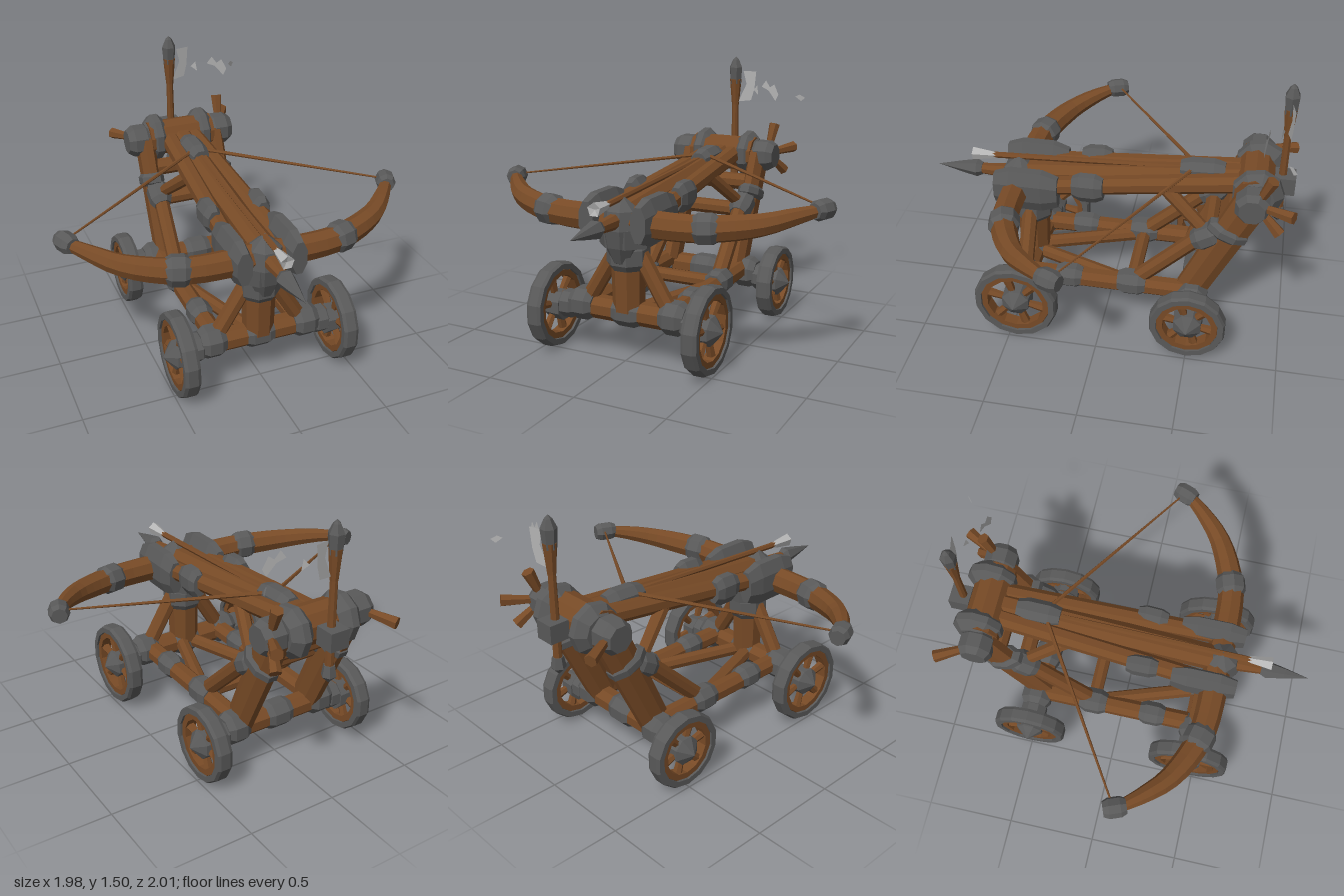
import * as THREE from 'three';

export function createModel() {
  const root = new THREE.Group();
  root.name = 'ballista';
  const mat = (name, color, extra = {}) =>
    Object.assign(new THREE.MeshStandardMaterial({ color, flatShading: true, ...extra }), { name });
  const wood = mat('wood', 0x774a26);
  const iron = mat('iron', 0x595959);
  const pale = mat('paleSteel', 0xb4b4b4, { side: THREE.DoubleSide });

  const V = (p) => new THREE.Vector3(...p);
  const UP = new THREE.Vector3(0, 1, 0);
  const mirror = (p) => [-p[0], p[1], p[2]];

  // Turned part from a to b; profile is [radius, fraction along the axis]
  function turned(name, a, b, profile, m, sides = 8, sx = 1, sz = 1, parent = root) {
    const d = V(b).sub(V(a)), len = d.length();
    const geo = new THREE.LatheGeometry(profile.map(([r, t]) => new THREE.Vector2(r, t * len)), sides);
    geo.rotateY(Math.PI / sides);
    geo.scale(sx, 1, sz);
    const mesh = new THREE.Mesh(geo, m);
    mesh.name = name;
    mesh.position.copy(V(a));
    mesh.quaternion.setFromUnitVectors(UP, d.normalize());
    parent.add(mesh);
    return mesh;
  }
  const beam = (name, a, b, ra, rb, m, sx = 1, sz = 1, sides = 8) =>
    turned(name, a, b, [[0, 0], [ra, 0], [rb, 1], [0, 1]], m, sides, sx, sz);
  // Metal sleeve with chamfered ends
  const sleeve = (name, a, b, r, sx = 1, sz = 1) =>
    turned(name, a, b, [[0, 0], [r * 0.75, 0], [r, 0.25], [r, 0.75], [r * 0.75, 1], [0, 1]], iron, 8, sx, sz);
  // Same part on both sides
  const pair = (fn, name, a, b, ...rest) => {
    fn(name + 'Left', a, b, ...rest);
    fn(name + 'Right', mirror(a), mirror(b), ...rest);
  };

  // Curved tube that changes radius evenly between the given radii
  function taperTube(name, pts, radii, m, rings = 16) {
    const curve = new THREE.CatmullRomCurve3(pts.map(V));
    const geo = new THREE.TubeGeometry(curve, rings, 1, 8);
    const p = geo.attributes.position, v = new THREE.Vector3();
    for (let i = 0; i < p.count; i++) {
      const t = Math.floor(i / 9) / rings, c = curve.getPointAt(t);
      const f = t * (radii.length - 1), k = Math.min(Math.floor(f), radii.length - 2);
      v.fromBufferAttribute(p, i).sub(c).multiplyScalar(THREE.MathUtils.lerp(radii[k], radii[k + 1], f - k)).add(c);
      p.setXYZ(i, v.x, v.y, v.z);
    }
    geo.computeVertexNormals();
    const mesh = new THREE.Mesh(geo, m);
    mesh.name = name;
    root.add(mesh);
  }

  // Wheels: iron tyre, wooden rim, spokes and pointed hub
  function wheel(name, side, y, z, R) {
    const g = new THREE.Group();
    g.name = name;
    const ring = (n, r0, r1, w, m) => turned(n, [-w, 0, 0], [w, 0, 0],
      [[r0, 0], [r1 * 0.96, 0], [r1, 0.2], [r1, 0.8], [r1 * 0.96, 1], [r0, 1], [r0, 0]], m, 14, 1, 1, g);
    ring('tyre', R - 0.04, R, 0.043, iron);
    ring('rim', R - 0.075, R - 0.035, 0.032, wood);
    for (let i = 0; i < 6; i++) {
      const a = (i / 6) * Math.PI * 2 + 0.3, c = Math.cos(a), s = Math.sin(a);
      turned('spoke', [0, c * 0.04, s * 0.04], [0, c * (R - 0.06), s * (R - 0.06)],
        [[0.018, 0], [0.027, 1]], wood, 6, 1, 1, g);
    }
    turned('hub', [-0.06 * side, 0, 0], [0.088 * side, 0, 0],
      [[0, 0], [0.085, 0], [0.08, 0.6], [0.045, 0.78], [0, 1]], iron, 8, 1, 1, g);
    g.position.set(side * 0.453, y, z);
    root.add(g);
  }
  for (const s of [1, -1]) {
    wheel('frontWheel', s, 0.24, 0.455, 0.235);
    wheel('rearWheel', s, 0.225, -0.5, 0.21);
  }

  // Axles and their iron fittings
  for (const [n, y, z] of [['front', 0.265, 0.455], ['rear', 0.25, -0.5]]) {
    beam(n + 'Axle', [-0.4, y, z], [0.4, y, z], 0.065, 0.065, wood);
    sleeve(n + 'AxleBand', [-0.09, y, z], [0.09, y, z], 0.08);
    pair(sleeve, n + 'AxleCollar', [0.2, y + 0.01, z], [0.34, y + 0.01, z], 0.092);
    pair(sleeve, n + 'AxleEnd', [0.31, y - 0.01, z], [0.42, y - 0.01, z], 0.078);
  }

  // Lower chassis
  pair(beam, 'sideBeam', [0.24, 0.28, 0.45], [0.24, 0.28, -0.5], 0.055, 0.055, wood);
  pair(sleeve, 'sideBeamFrontBand', [0.24, 0.285, 0.27], [0.24, 0.285, 0.12], 0.07);
  pair(sleeve, 'sideBeamRearBand', [0.24, 0.29, -0.08], [0.24, 0.29, -0.24], 0.075);
  pair(beam, 'chassisBrace', [0.23, 0.27, -0.16], [0.03, 0.27, 0.43], 0.04, 0.04, wood);
  beam('chassisCrossbar', [-0.24, 0.28, -0.16], [0.24, 0.28, -0.16], 0.04, 0.04, wood);

  // Front pedestal
  beam('pedestalPost', [0, 0.28, 0.455], [0, 0.66, 0.455], 0.085, 0.095, wood);
  pair(beam, 'pedestalStrut', [0.25, 0.29, 0.455], [0.05, 0.62, 0.455], 0.045, 0.045, wood);
  sleeve('pedestalCollar', [0, 0.5, 0.455], [0, 0.66, 0.455], 0.115);
  beam('pedestalCap', [0, 0.64, 0.455], [0, 0.74, 0.455], 0.15, 0.16, iron);
  turned('bowBoss', [0, 0.53, 0.52], [0, 0.91, 0.52],
    [[0, 0], [0.05, 0.07], [0.09, 0.3], [0.108, 0.55], [0.09, 0.8], [0, 1]], iron, 8);

  // Bow arms, with bands and tip blocks
  for (const s of [1, -1]) {
    taperTube(s > 0 ? 'bowArmLeft' : 'bowArmRight',
      [[0, 0.78, 0.5], [s * 0.2, 0.77, 0.51], [s * 0.45, 0.775, 0.49], [s * 0.7, 0.8, 0.38],
        [s * 0.83, 0.83, 0.26], [s * 0.93, 0.85, 0.14]], [0.075, 0.075, 0.072, 0.065, 0.05, 0.03], wood);
  }
  pair(sleeve, 'bowBand', [0.39, 0.775, 0.505], [0.52, 0.78, 0.47], 0.085);
  pair(sleeve, 'bowTip', [0.905, 0.85, 0.19], [0.95, 0.85, 0.075], 0.056);
  pair(sleeve, 'bowClamp', [0.15, 0.785, 0.27], [0.15, 0.785, 0.625], 0.075, 0.8, 1.75);

  // Bowstring
  pair(beam, 'bowstring', [0.92, 0.86, 0.12], [0, 0.955, -0.47], 0.005, 0.012, wood, 1, 1, 6);

  // Stock: centre beam and converging rails
  beam('stock', [0, 0.79, 0.55], [0, 0.91, -0.78], 0.07, 0.08, wood);
  pair(beam, 'stockRail', [0.14, 0.79, 0.5], [0.075, 0.92, -0.7], 0.05, 0.055, wood);
  pair(sleeve, 'stockBand', [0.14, 0.83, 0.19], [0.145, 0.835, 0.02], 0.055, 1, 1.6);
  sleeve('stringCatch', [0, 0.925, -0.38], [0, 0.935, -0.62], 0.068);
  beam('catchRod', [0, 0.94, -0.58], [0, 0.94, -0.8], 0.03, 0.03, iron);

  // Loaded bolt and ram spike
  beam('boltShaft', [0, 0.885, 0.68], [0, 0.94, -0.45], 0.017, 0.015, wood, 1, 1, 6);
  turned('boltHead', [0, 0.885, 0.64], [0, 0.885, 0.79],
    [[0.012, 0], [0.022, 0.25], [0.038, 0.98], [0.0, 0.9]], pale, 5);
  beam('spikeShaft', [0, 0.785, 0.5], [0, 0.785, 0.78], 0.05, 0.028, wood);
  turned('spike', [0, 0.785, 0.74], [0, 0.785, 1],
    [[0, 0], [0.035, 0], [0.05, 0.12], [0.03, 0.5], [0, 1]], iron, 6);

  // Rear support legs and braces
  pair(beam, 'rearLeg', [0.22, 0.27, -0.48], [0.22, 0.92, -0.78], 0.09, 0.1, wood, 0.55, 1);
  pair(beam, 'rearBrace', [0.23, 0.3, -0.17], [0.21, 0.68, -0.56], 0.045, 0.045, wood);
  pair(sleeve, 'braceBand', [0.21, 0.61, -0.49], [0.21, 0.69, -0.62], 0.07);
  pair(sleeve, 'legBand', [0.22, 0.67, -0.65], [0.22, 0.74, -0.68], 0.12, 0.6, 1);
  pair(beam, 'upperBrace', [0.2, 0.65, -0.57], [0.1, 0.87, -0.3], 0.035, 0.04, wood);
  beam('rearCrossbar', [-0.22, 0.62, -0.56], [0.22, 0.62, -0.56], 0.045, 0.045, wood);
  beam('upperCrossbar', [-0.22, 0.76, -0.7], [0.22, 0.76, -0.7], 0.05, 0.05, wood);

  // Winch: drum, flanges, end hubs and handles
  beam('winchDrum', [-0.2, 0.92, -0.78], [0.2, 0.92, -0.78], 0.105, 0.105, wood, 1, 1, 10);
  const flange = (n, a, b) => turned(n, a, b,
    [[0, 0], [0.09, 0], [0.138, 0.35], [0.138, 0.65], [0.09, 1], [0, 1]], iron, 9);
  pair(flange, 'winchFlange', [0.08, 0.92, -0.8], [0.21, 0.92, -0.8]);
  pair(sleeve, 'winchHub', [0.18, 0.92, -0.78], [0.33, 0.92, -0.78], 0.095);
  const hub = [0.27, 0.93, -0.8];
  for (const tip of [[0.285, 1.1, -0.87], [0.37, 0.95, -0.99], [0.33, 0.81, -0.93]])
    beam('winchHandleLeft', hub, tip, 0.018, 0.034, wood, 1, 1, 6);
  beam('winchHandleRight', mirror(hub), [-0.36, 0.9, -0.99], 0.018, 0.034, wood, 1, 1, 6);

  // Flagpole
  beam('flagpole', [0, 0.7, -0.92], [0, 1.22, -0.92], 0.024, 0.02, wood);
  beam('flagpoleTop', [0, 1.2, -0.92], [0, 1.36, -0.92], 0.022, 0.036, wood);
  turned('flagpoleFinial', [0, 1.33, -0.92], [0, 1.5, -0.92],
    [[0, 0], [0.034, 0], [0.042, 0.6], [0.02, 0.88], [0, 1]], iron, 6);
  turned('flagpoleFoot', [0, 0.65, -0.92], [0, 0.75, -0.92], [[0, 0], [0.04, 0.4], [0.03, 1], [0, 1]], iron, 6);
  const bracket = new THREE.Mesh(new THREE.BoxGeometry(0.11, 0.1, 0.11), iron);
  bracket.name = 'flagpoleBracket';
  bracket.position.set(0, 0.91, -0.935);
  root.add(bracket);

  // Tattered flag: outline in x, y with a depth and a turn for each scrap
  const scraps = [
    [[0.02, 1.22, 0.1, 1.23, 0.12, 1.3, 0.13, 1.41, 0.05, 1.41, 0.07, 1.33], -0.92, 0.2],
    [[0.13, 1.3, 0.17, 1.27, 0.16, 1.33], -0.9, -0.4],
    [[0.21, 1.33, 0.26, 1.31, 0.31, 1.25, 0.33, 1.29, 0.3, 1.35, 0.27, 1.33, 0.24, 1.37], -0.83, -0.2],
    [[0.39, 1.27, 0.43, 1.24, 0.455, 1.26, 0.42, 1.28], -0.93, 0.7],
  ];
  for (const [xy, z, turn] of scraps) {
    const pts = [];
    for (let i = 0; i < xy.length; i += 2) pts.push(new THREE.Vector2(xy[i] - xy[0], xy[i + 1]));
    const mesh = new THREE.Mesh(new THREE.ShapeGeometry(new THREE.Shape(pts)), pale);
    mesh.name = 'flagScrap';
    mesh.position.set(xy[0], 0, z);
    mesh.rotation.y = turn;
    root.add(mesh);
  }
  return root;
}
